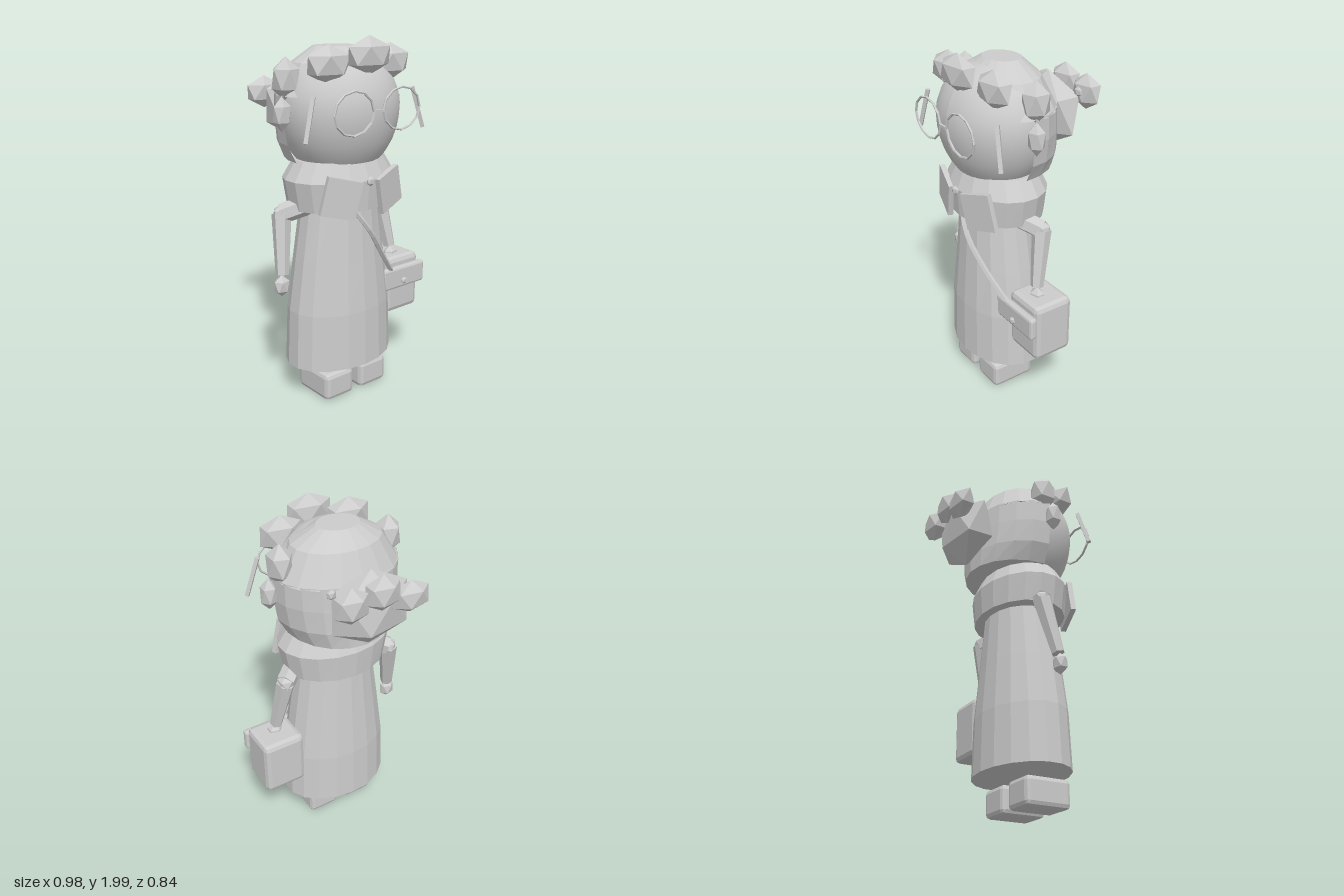
import * as THREE from 'three';
import { RoundedBoxGeometry } from 'three/addons/geometries/RoundedBoxGeometry.js';

const grey = new THREE.MeshStandardMaterial({ color: 0xcccccc });
grey.name = 'plain grey';

const CX = -0.047; // the figure's own middle line
const V = (x, y, z) => new THREE.Vector3(x, y, z);

// Faceted normals
function flat(geo) {
  const g = geo.index ? geo.toNonIndexed() : geo;
  g.computeVertexNormals();
  return g;
}

// Loft of elliptical rings [y, rx, rz, cz], listed bottom to top
function loft(rings, sides, start = 0, sweep = Math.PI * 2) {
  const pos = [], idx = [];
  for (const [y, rx, rz, cz] of rings)
    for (let j = 0; j <= sides; j++) {
      const a = start + (sweep * j) / sides;
      pos.push(rx * Math.sin(a), y, cz + rz * Math.cos(a));
    }
  const n = sides + 1;
  for (let i = 0; i < rings.length - 1; i++)
    for (let j = 0; j < sides; j++) {
      const a = i * n + j, b = a + 1, c = b + n, d = a + n;
      if (rings[i][1] > 0) idx.push(a, b, c);
      if (rings[i + 1][1] > 0) idx.push(a, c, d);
      if (rings[i][1] === 0) idx.push(a, c, d);
    }
  const g = new THREE.BufferGeometry();
  g.setAttribute('position', new THREE.Float32BufferAttribute(pos, 3));
  g.setIndex(idx);
  g.computeVertexNormals();
  return g;
}

// Icosahedron with a vertex pointing up, stretched to an ellipsoid
function gem(rx, ry, rz) {
  const g = new THREE.IcosahedronGeometry(1, 0);
  g.rotateZ(Math.atan(2 / (1 + Math.sqrt(5))));
  g.scale(rx, ry, rz);
  return flat(g);
}

export function createModel() {
  const root = new THREE.Group();
  root.name = 'figure';

  const add = (name, geo, x = 0, y = 0, z = 0) => {
    const m = new THREE.Mesh(geo, grey);
    m.name = name;
    m.position.set(x, y, z);
    root.add(m);
    return m;
  };
  const box = (name, w, h, d, r, x, y, z) =>
    add(name, flat(new RoundedBoxGeometry(w, h, d, 1, r)), x, y, z);
  // Tapered limb between two points
  const rod = (name, a, b, ra, rb, sides = 6) => {
    const m = add(name, flat(new THREE.CylinderGeometry(rb, ra, a.distanceTo(b), sides)));
    m.position.copy(a).lerp(b, 0.5);
    m.quaternion.setFromUnitVectors(V(0, 1, 0), b.clone().sub(a).normalize());
    return m;
  };

  // Shoes
  box('rightShoe', 0.195, 0.155, 0.265, 0.025, -0.168, 0.083, 0.135);
  box('leftShoe', 0.195, 0.155, 0.265, 0.025, 0.077, 0.083, 0.135);

  // Dress and shawl
  add('dress', flat(loft([
    [0.2, 0, 0, 0.1], [0.2, 0.333, 0.24, 0.1], [0.52, 0.32, 0.232, 0.1],
    [0.8, 0.28, 0.21, 0.1], [1.15, 0.225, 0.185, 0.1], [1.2, 0, 0, 0.1],
  ], 18)), CX);
  add('shawl', flat(loft([
    [1.1, 0, 0, 0.1], [1.1, 0.305, 0.24, 0.1], [1.26, 0.335, 0.25, 0.1],
    [1.36, 0.27, 0.205, 0.1], [1.36, 0, 0, 0.1],
  ], 18)), CX);
  for (const s of [-1, 1]) {
    const lapel = add(s < 0 ? 'rightLapel' : 'leftLapel',
      flat(new THREE.BoxGeometry(0.2, 0.205, 0.03)), CX + s * 0.167, 1.185, 0.32);
    lapel.rotation.set(0, s * 0.28, s * 0.25);
  }
  add('shawlButton', gem(0.027, 0.027, 0.018), CX, 1.26, 0.36);

  // Head with smooth face
  const face = [[1.35, 0.7], [1.39, 0.79], [1.45, 0.89], [1.52, 0.96], [1.58, 0.99],
    [1.64, 1], [1.7, 0.97], [1.76, 0.9], [1.82, 0.79], [1.87, 0.63], [1.91, 0.4], [1.93, 0]]
    .map(([y, r]) => [y, r * 0.345, r * 0.3, 0.1]);
  add('face', loft(face, 40), CX);
  add('chin', flat(loft([[1.35, 0, 0, 0.1], face[0]], 40)), CX);

  // Hair: back shell, faceted cap and bun
  add('backHair', flat(loft([
    [1.35, 0, 0, 0.1], [1.35, 0.285, 0.318, 0.1], [1.45, 0.34, 0.32, 0.1],
    [1.58, 0.36, 0.312, 0.1], [1.71, 0.36, 0.305, 0.1], [1.72, 0, 0, 0.1],
  ], 10, Math.PI / 2, Math.PI)), CX);
  add('hairCap', flat(loft([
    [1.7, 0, 0, 0.07], [1.7, 0.355, 0.27, 0.07], [1.86, 0.255, 0.195, 0.07],
    [1.94, 0.12, 0.095, 0.055], [1.94, 0, 0, 0.055],
  ], 18)), CX);
  add('bun', gem(0.25, 0.215, 0.14), CX, 1.6, -0.25);
  add('hairBead', gem(0.028, 0.028, 0.017), 0.19, 1.75, -0.265);

  // Curls: x, y, z and the three radii
  [
    [-0.24, 1.86, 0.255, 0.145, 0.1, 0.078], [CX + 0.01, 1.9, 0.325, 0.15, 0.1, 0.07],
    [0.175, 1.855, 0.25, 0.135, 0.1, 0.075],
    [-0.375, 1.785, 0.075, 0.078, 0.112, 0.082], [0.28, 1.785, 0.075, 0.078, 0.112, 0.082],
    [-0.425, 1.615, 0.108, 0.053, 0.09, 0.048], [0.333, 1.615, 0.108, 0.053, 0.09, 0.048],
    [0.14, 1.72, -0.365, 0.105, 0.1, 0.066], [-0.04, 1.74, -0.365, 0.11, 0.1, 0.066],
    [-0.21, 1.67, -0.365, 0.12, 0.09, 0.066],
  ].forEach(([x, y, z, a, b, c], i) => add('curl' + (i + 1), gem(a, b, c), x, y, z));

  // Glasses
  for (const s of [-1, 1]) {
    const rim = add(s < 0 ? 'rightRim' : 'leftRim',
      flat(new THREE.TorusGeometry(0.128, 0.007, 5, 12)), CX + s * 0.16, 1.632, 0.413);
    rim.scale.y = 0.86;
    rod(s < 0 ? 'rightTemple' : 'leftTemple',
      V(CX + s * 0.4, 1.5, 0.333), V(CX + s * 0.335, 1.72, 0.31), 0.015, 0.015, 4);
  }
  add('glassesBridge', new THREE.BoxGeometry(0.07, 0.014, 0.012), CX, 1.632, 0.415);

  // Arms and hands
  for (const s of [-1, 1]) {
    const side = s < 0 ? 'right' : 'left';
    const shoulder = V(CX + s * 0.2, 1.14, 0.15);
    const elbow = V(CX + s * 0.345, 1.075, 0.04);
    const wrist = V(CX + s * 0.39, 0.76, 0.1);
    rod(side + 'UpperArm', shoulder, elbow, 0.055, 0.055);
    add(side + 'Elbow', gem(0.052, 0.052, 0.052), elbow.x, elbow.y, elbow.z);
    rod(side + 'Forearm', elbow, wrist, 0.054, 0.036);
    add(side + 'Hand', gem(0.05, 0.06, 0.04), CX + s * 0.398, 0.7, 0.105);
  }

  // Shoulder bag with flap, clasp and strap
  box('bag', 0.255, 0.34, 0.24, 0.03, 0.358, 0.547, 0.085);
  box('bagFlap', 0.325, 0.13, 0.045, 0.015, 0.331, 0.607, 0.227);
  add('bagClasp', gem(0.021, 0.021, 0.014), 0.325, 0.585, 0.252);
  const strap = new THREE.CatmullRomCurve3([
    V(-0.12, 1.12, 0.285), V(-0.01, 0.975, 0.315), V(0.12, 0.8, 0.28), V(0.235, 0.665, 0.235),
  ]);
  add('bagStrap', flat(new THREE.TubeGeometry(strap, 10, 0.015, 5)));

  return root;
}
